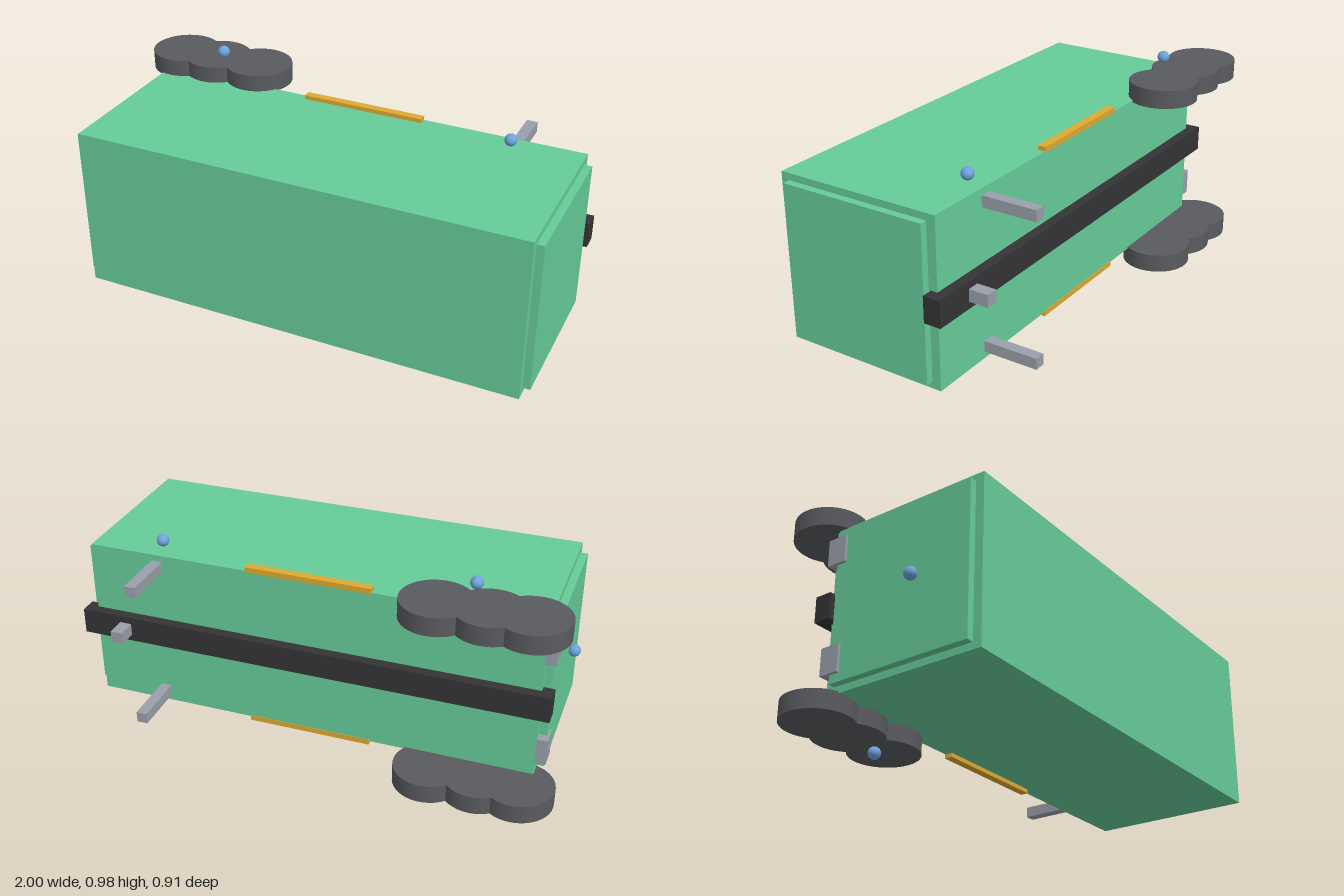
import * as THREE from 'three';

const MID = 0.49; // height of the mirror plane: the trailer lies on its side

export function createModel() {
  const root = new THREE.Group();
  root.name = 'trailer';

  const mat = (color) => new THREE.MeshStandardMaterial({ color });
  const green = mat(0x66cc99);
  const dark = mat(0x343436);
  const rubber = mat(0x5a5b5f);
  const steel = mat(0x9aa0aa);
  const amber = mat(0xddaa33);
  const blue = mat(0x6fa3dc);

  const add = (name, geometry, material, x, y, z) => {
    const mesh = new THREE.Mesh(geometry, material);
    mesh.name = name;
    mesh.position.set(x, y, z);
    root.add(mesh);
    return mesh;
  };

  // Box given by its extents along each axis
  const box = (name, material, [x0, x1], [y0, y1], [z0, z1]) =>
    add(name, new THREE.BoxGeometry(x1 - x0, y1 - y0, z1 - z0), material,
      (x0 + x1) / 2, (y0 + y1) / 2, (z0 + z1) / 2);

  // Cargo box with an inset panel at each end
  box('cargoBody', green, [-0.90, 0.955], [0.149, 0.831], [-0.23, 0.456]);
  box('frontPanel', green, [0.95, 0.985], [0.177, 0.803], [-0.193, 0.421]);
  box('rearDoor', green, [-0.93, -0.895], [0.177, 0.803], [-0.193, 0.421]);

  // Chassis beam and coupling pin
  box('chassisBeam', dark, [-0.945, 1.0], [MID - 0.053, MID + 0.053], [-0.273, -0.202]);
  box('couplingPin', steel, [0.785, 0.835], [MID - 0.025, MID + 0.025], [-0.353, -0.26]);

  // Mirrored running gear, legs and lamps
  const wheel = new THREE.CylinderGeometry(0.142, 0.142, 0.077, 40);
  const ball = new THREE.SphereGeometry(0.025, 24, 16);
  for (const s of [-1, 1]) {
    const side = s > 0 ? 'Upper' : 'Lower';
    const span = (a, b) => (s > 0 ? [MID + a, MID + b] : [MID - b, MID - a]);
    [-0.858, -0.70, -0.502].forEach((x, i) =>
      add(`wheel${side}${i + 1}`, wheel, rubber, x, MID + s * 0.372, -0.307));
    box(`landingLeg${side}`, steel, [0.645, 0.69], span(0.269, 0.314), [-0.457, -0.22]);
    box(`sideMarker${side}`, amber, [-0.23, 0.285], span(0.335, 0.358), [-0.232, -0.198]);
    box(`tailLamp${side}`, steel, [-0.942, -0.90], span(0.168, 0.278), [-0.23, -0.148]);
    add(`wheelMarker${side}`, ball, blue, -0.63, MID + s * 0.464, -0.237);
  }

  // Remaining marker balls
  add('legMarker', ball, blue, 0.67, 0.863, -0.157);
  add('doorMarker', ball, blue, -0.951, MID, 0.182);

  return root;
}
